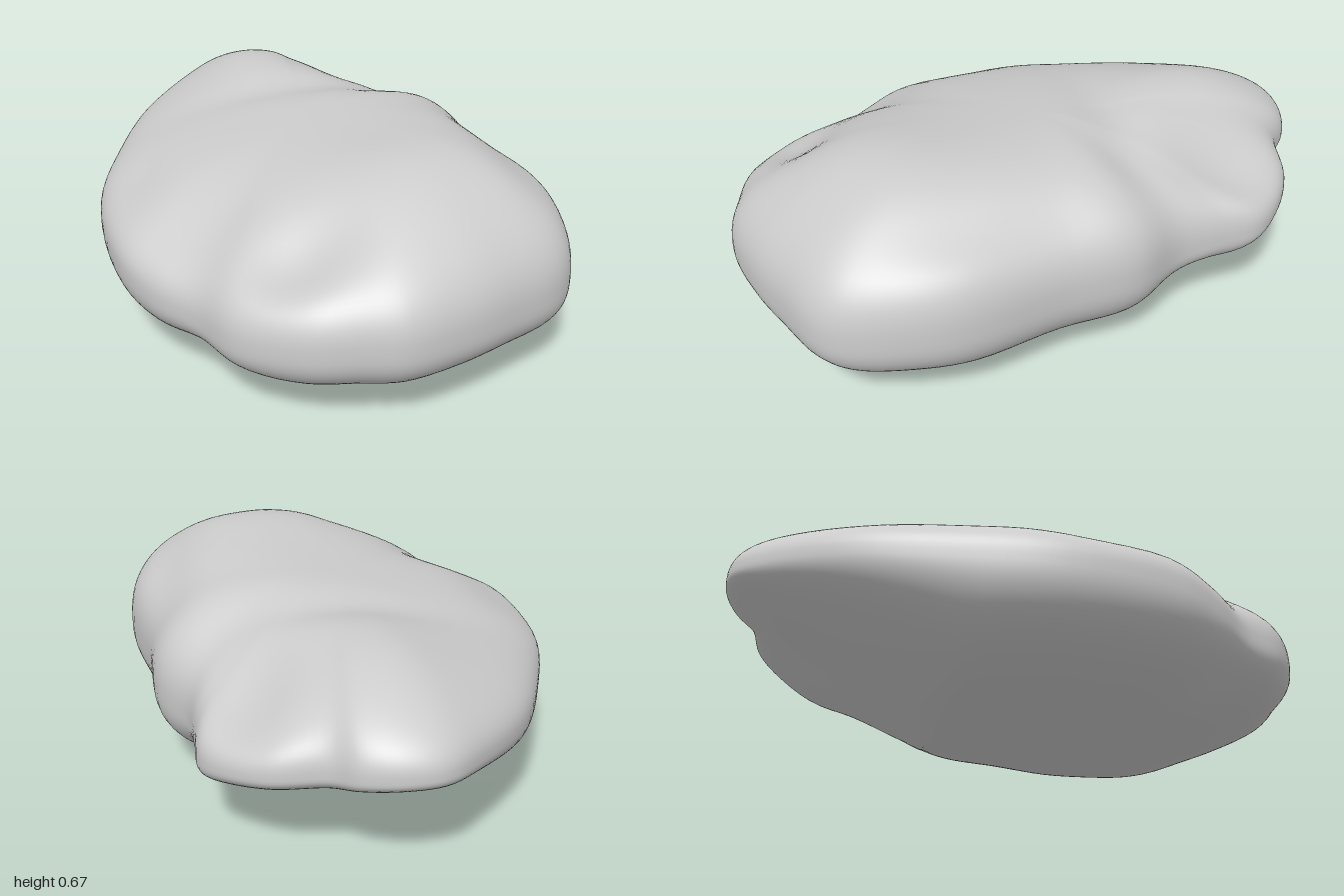
import * as THREE from 'three';
import { mergeVertices } from 'three/addons/utils/BufferGeometryUtils.js';

// Widest outline of the boulder: x, rim height, z (left, front, right, back)
const RIM = [
  [-0.715, 0.32, -0.03], [-0.68, 0.31, 0.33], [-0.6, 0.28, 0.49], [-0.48, 0.26, 0.635],
  [-0.39, 0.27, 0.8], [-0.21, 0.29, 0.93], [-0.05, 0.3, 0.97], [0.08, 0.3, 0.99],
  [0.27, 0.3, 0.94], [0.43, 0.3, 0.87], [0.59, 0.3, 0.79], [0.66, 0.3, 0.71],
  [0.71, 0.31, 0.53], [0.715, 0.31, 0.34], [0.635, 0.32, 0.02], [0.6, 0.32, -0.23],
  [0.5, 0.3, -0.4], [0.475, 0.31, -0.55], [0.46, 0.32, -0.69], [0.38, 0.34, -0.79],
  [0.26, 0.36, -0.87], [0.1, 0.38, -0.905], [0.02, 0.4, -0.97], [-0.1, 0.41, -1.0],
  [-0.22, 0.41, -0.98], [-0.34, 0.4, -0.87], [-0.52, 0.37, -0.635], [-0.64, 0.34, -0.34],
];

// Swellings and hollows of the upper side: x, z, radius x, radius z, height
const TOP_LUMPS = [
  [0.22, 0.58, 0.3, 0.28, 0.06],    // front shoulder
  [-0.12, -0.68, 0.24, 0.3, 0.05],  // back lobe
  [0.36, -0.68, 0.2, 0.32, -0.17],  // low shelf beside the back lobe
  [0.1, -0.28, 0.4, 0.1, -0.025],   // valley before the back lobe
  [-0.2, 0.74, 0.17, 0.13, -0.09],  // groove at the front
  [-0.5, 0.5, 0.2, 0.2, -0.07],     // hollow at the front corner
  [-0.62, 0.12, 0.12, 0.2, -0.03],
  [0.6, 0.2, 0.12, 0.4, -0.06],     // steep side
];

// The same for the underside
const BOTTOM_LUMPS = [
  [0.17, 0.05, 0.25, 0.3, -0.025],
  [-0.08, 0.1, 0.14, 0.3, 0.015],
  [0.45, -0.45, 0.12, 0.14, 0.06],
  [-0.45, 0.65, 0.16, 0.16, 0.05],
];

const lumps = (list, x, z) => list.reduce((sum, [cx, cz, rx, rz, h]) =>
  sum + h * Math.exp(-(((x - cx) / rx) ** 2) - ((z - cz) / rz) ** 2), 0);

const topHeight = (x, z) => 0.635 + 0.12 * x + lumps(TOP_LUMPS, x, z);

// The underside rises towards the back
const bottomHeight = (x, z) =>
  0.025 + 0.4 * Math.max(0, -z - 0.28) ** 1.1 + lumps(BOTTOM_LUMPS, x, z);

export function createModel() {
  const rim = new THREE.CatmullRomCurve3(
    RIM.map((p) => new THREE.Vector3(...p)), true, 'centripetal');

  // Reshape a sphere: longitude follows the rim, latitude a squarish dome
  let geometry = new THREE.SphereGeometry(1, 140, 72);
  const { position, uv } = geometry.attributes;
  const edge = new THREE.Vector3();
  for (let i = 0; i < position.count; i++) {
    const up = position.getY(i);
    const rho = Math.max(0, 1 - up * up) ** 0.4;
    const dome = Math.abs(up) ** 0.8;
    rim.getPoint(THREE.MathUtils.euclideanModulo(uv.getX(i), 1), edge);
    const x = edge.x * rho;
    const z = edge.z * rho;
    const target = up > 0 ? topHeight(x, z) : bottomHeight(x, z);
    position.setXYZ(i, x, edge.y * (1 - dome) + target * dome, z);
  }

  // Weld the seam so that the shading is smooth all round
  geometry.deleteAttribute('uv');
  geometry.deleteAttribute('normal');
  geometry = mergeVertices(geometry, 1e-5);
  geometry.computeVertexNormals();
  geometry.computeBoundingBox();
  geometry.translate(0, -geometry.boundingBox.min.y, 0);

  const boulder = new THREE.Mesh(
    geometry, new THREE.MeshStandardMaterial({ color: 0xcccccc }));
  boulder.name = 'boulder';
  const group = new THREE.Group();
  group.name = 'rock';
  group.add(boulder);
  return group;
}
